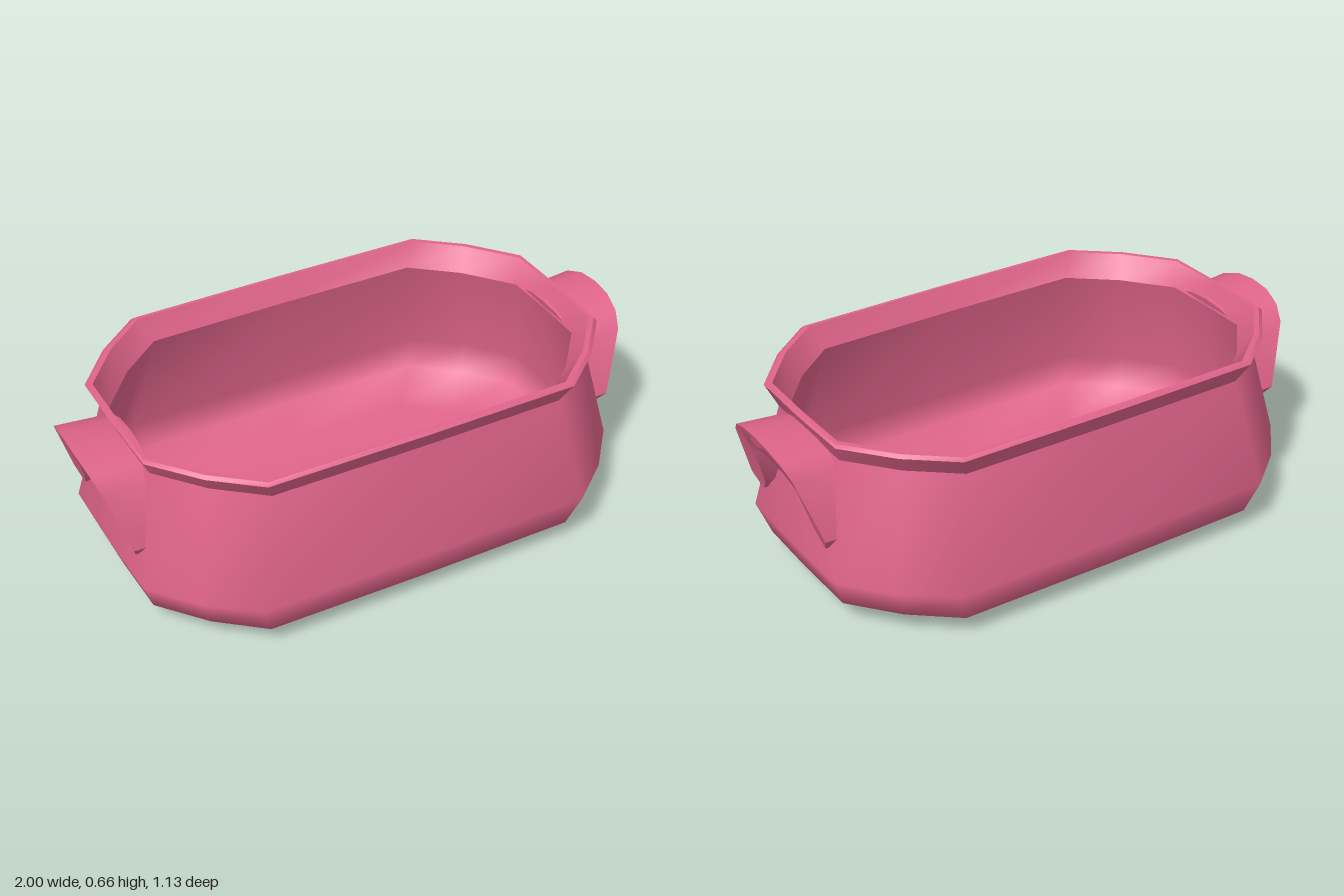
import * as THREE from 'three';
import { toCreasedNormals } from 'three/addons/utils/BufferGeometryUtils.js';

const material = new THREE.MeshStandardMaterial({ color: 0xe0648c, roughness: 0.8, side: THREE.DoubleSide });

// Skin a list of closed cross-sections, each an array of [x, y, z]
function loft(sections) {
  const n = sections[0].length;
  const index = [];
  for (let j = 0; j < sections.length - 1; j++) {
    for (let i = 0; i < n; i++) {
      const a = j * n + i, b = j * n + (i + 1) % n;
      index.push(a, a + n, b, b, a + n, b + n);
    }
  }
  const geometry = new THREE.BufferGeometry();
  geometry.setAttribute('position', new THREE.Float32BufferAttribute(sections.flat(2), 3));
  geometry.setIndex(index);
  geometry.computeVertexNormals();
  return geometry;
}

// Rounded-off rectangle: half width, half depth, height, corner cut
function ring([hx, hz, y, c = 0.285]) {
  const quarter = [[hx, hz - c], [hx - 0.46 * c, hz - 0.44 * c], [hx - c, hz]];
  const flip = (sx, sz) => quarter.map(([x, z]) => [x * sx, y, z * sz]);
  return [
    [hx * 1.005, y, 0], ...flip(1, 1), [0, y, hz * 1.008], ...flip(-1, 1).reverse(),
    [-hx * 1.005, y, 0], ...flip(-1, -1), [0, y, -hz * 1.008], ...flip(1, -1).reverse(),
  ];
}

// Arched handle: a wedge-shaped hood swept from foot to foot
function handleGeometry() {
  const wall = (y) => 0.865 - Math.max(0, y - 0.19) * 0.19;
  // front outer [z, y, x], front inner [z, y, x], back inner [z, y], back outer [z, y]
  const half = [
    [[0.215, 0.285, 0.882], [0.205, 0.29, 0.882], [0.205, 0.29], [0.215, 0.285]],
    [[0.255, 0.335, 0.9], [0.17, 0.34, 0.895], [0.16, 0.345], [0.25, 0.33]],
    [[0.197, 0.55, 0.97], [0.147, 0.48, 0.935], [0.125, 0.41], [0.19, 0.54]],
    [[0.15, 0.595, 0.987], [0.125, 0.545, 0.965], [0.1, 0.425], [0.145, 0.58]],
    [[0.08, 0.622, 0.998], [0.07, 0.573, 0.98], [0.065, 0.443], [0.08, 0.602]],
    [[0, 0.63, 1], [0, 0.58, 0.985], [0, 0.455], [0, 0.608]],
  ];
  const section = (s, side) => s.map(([z, y, x = wall(y)]) => [x, y, z * side]);
  const sections = [
    ...half.map((s) => section(s, 1)),
    ...half.slice(0, -1).reverse().map((s) => section(s, -1)),
  ];
  return toCreasedNormals(loft(sections), 0.6);
}

export function createModel() {
  const group = new THREE.Group();
  const add = (name, geometry) => {
    const mesh = new THREE.Mesh(geometry, material);
    mesh.name = name;
    group.add(mesh);
    return mesh;
  };

  // Dish profile, split where the edges are sharp
  const bands = {
    base: [[0, 0, 0, 0], [0.71, 0.395, 0, 0.25]],
    outerWall: [[0.71, 0.395, 0, 0.25], [0.848, 0.532, 0.08], [0.888, 0.562, 0.19], [0.81, 0.488, 0.58]],
    rimFlare: [[0.81, 0.488, 0.58], [0.84, 0.525, 0.65]],
    rimBevel: [[0.84, 0.525, 0.65], [0.833, 0.515, 0.66]],
    rimTop: [[0.833, 0.515, 0.66], [0.82, 0.503, 0.66]],
    innerFlare: [[0.82, 0.503, 0.66], [0.785, 0.463, 0.58]],
    innerWall: [[0.785, 0.463, 0.58], [0.86, 0.535, 0.2], [0.82, 0.505, 0.11], [0.69, 0.375, 0.035, 0.25], [0, 0, 0.035, 0]],
  };
  for (const [name, profile] of Object.entries(bands)) add(name, loft(profile.map(ring)));

  // Handles on both ends
  const handle = handleGeometry();
  add('leftHandle', handle);
  add('rightHandle', handle).rotation.y = Math.PI;

  return group;
}
